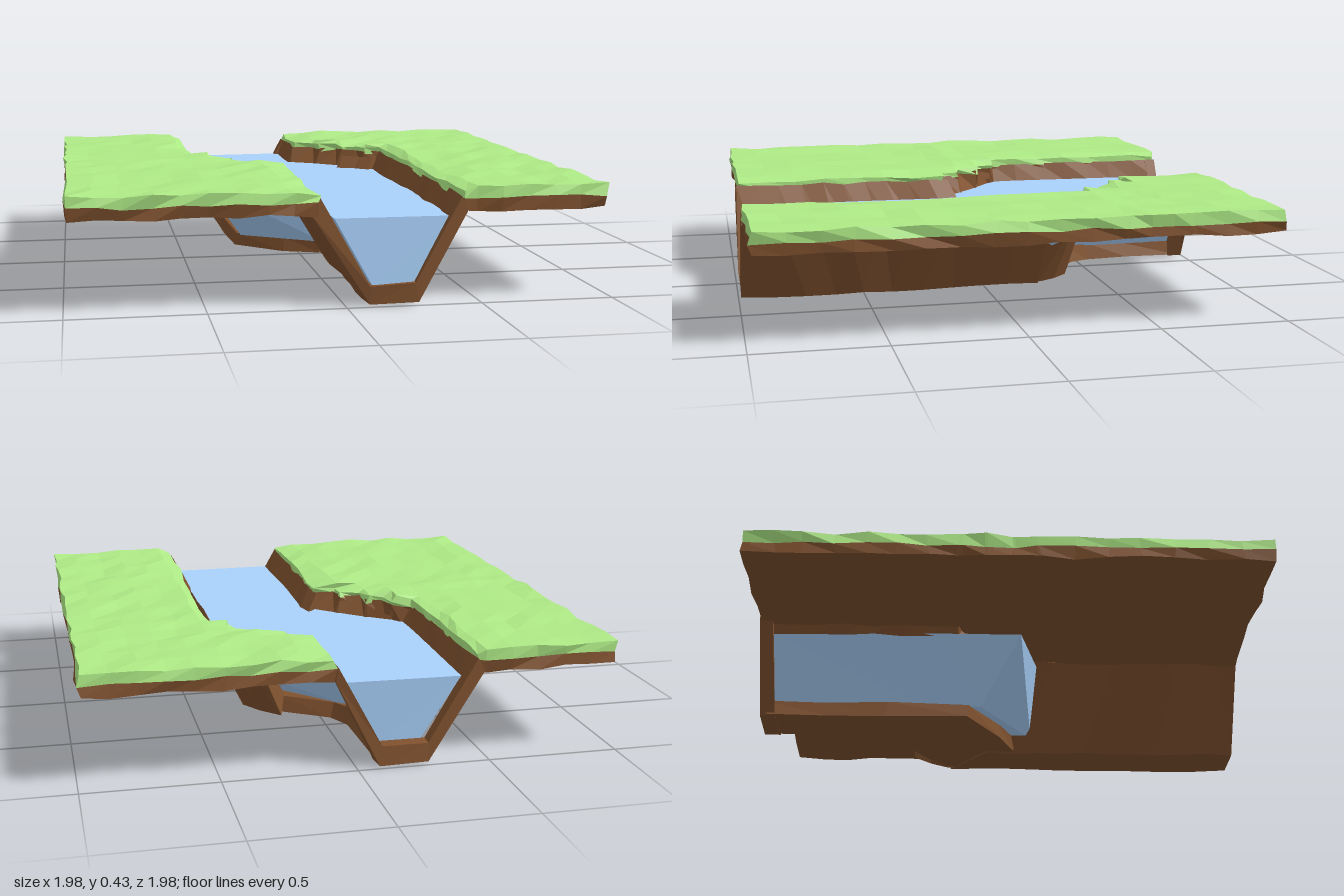
import * as THREE from 'three';

const GRASS = 0xaeea86, DIRT = 0x80522f, WATER = 0xaad2fc;

// Repeatable roughness: the same point is always nudged the same way, near rows together
function rough([x, y, z], amp) {
  const row = Math.round(z * 10);
  const h = (k) => {
    const s = Math.sin(x * 127.1 + y * 71.3 + row * 31.17 + k * 17.9) * 4375.85;
    return (s - Math.floor(s) - 0.5) * 2 * amp;
  };
  return new THREE.Vector3(x + h(1), y + h(2) * 0.7, z + h(3));
}

// Skin over cross-sections running from front to back, each clockwise seen from the front.
// A closed skin gets end caps that join point k to its partner counted from the end.
function loft(name, color, sections, amp, closed = true) {
  const pos = [], rows = sections.map((s) => s.map((p) => rough(p, amp)));
  const tri = (a, b, c) => {
    const n = b.clone().sub(a).cross(c.clone().sub(a));
    if (n.length() > 1e-7) for (const p of [a, b, c]) pos.push(p.x, p.y, p.z);
  };
  const quad = (a, b, c, d) => { tri(a, b, c); tri(a, c, d); };
  const n = rows[0].length;
  for (let i = 0; i < rows.length - 1; i++) {
    for (let j = 0; j < (closed ? n : n - 1); j++) {
      const k = (j + 1) % n;
      quad(rows[i][j], rows[i][k], rows[i + 1][k], rows[i + 1][j]);
    }
  }
  if (closed) {
    const s = rows[0], e = rows[rows.length - 1];
    for (let k = 0; k < n / 2 - 1; k++) {
      const l = n - 1 - k;
      quad(s[l], s[l - 1], s[k + 1], s[k]);
      quad(e[k], e[k + 1], e[l - 1], e[l]);
    }
  }
  const geo = new THREE.BufferGeometry();
  geo.setAttribute('position', new THREE.Float32BufferAttribute(pos, 3));
  geo.computeVertexNormals();
  const side = closed ? THREE.FrontSide : THREE.DoubleSide;
  const mesh = new THREE.Mesh(geo, new THREE.MeshStandardMaterial({ color, flatShading: true, side }));
  mesh.name = name;
  return mesh;
}

// Split the long stretches of a bank line
function subdivide(line, step = 0.12) {
  const out = [line[0]];
  for (let i = 1; i < line.length; i++) {
    const [a, b] = [line[i - 1], line[i]];
    const n = Math.max(1, Math.round(Math.abs(b[1] - a[1]) / step));
    for (let k = 1; k <= n; k++) out.push(a.map((v, c) => v + (b[c] - v) * k / n));
  }
  return out;
}

// Stepped bank lines as [x, z], front to back
const LEFT_BANK = subdivide([[-0.1, 0.98], [-0.095, 0.11], [-0.18, 0.1], [-0.19, 0.02], [-0.27, 0.01],
  [-0.28, -0.08], [-0.34, -0.09], [-0.36, -0.17], [-0.44, -0.19], [-0.445, -0.98]]);
const RIGHT_BANK = subdivide([[0.43, 0.98], [0.44, -0.37], [0.37, -0.385], [0.35, -0.46], [0.28, -0.47],
  [0.27, -0.535], [0.19, -0.545], [0.17, -0.62], [0.08, -0.635], [0.075, -0.98]]);

// One layer of ground between the tile edge and a bank line
function layer(name, color, bank, side, top, bottom) {
  const sections = bank.map(([edge, z]) => {
    const xs = [];
    for (let j = 0; j < 10; j++) {
      xs.push(side < 0 ? Math.min(-0.985 + j * 0.1, edge) : Math.max(0.08 + j * 0.1, edge));
    }
    const height = (x) => top - (color === GRASS && Math.abs(x - edge) < 0.01 ? 0.015 : 0);
    return [...xs.map((x) => [x, height(x), z]), ...xs.reverse().map((x) => [x, bottom, z])];
  });
  return loft(name, color, sections, 0.01);
}

// Channel cross-section: inner face left to right, then outer face back
const CHANNEL = [[-0.09, 0.4], [0.09, 0.09], [0.26, 0.09], [0.43, 0.4],
  [0.44, 0.35], [0.275, 0.015], [0.085, 0.02], [-0.125, 0.35]];
const SHIFT = -0.355;

export function createModel() {
  const model = new THREE.Group();
  model.name = 'riverBendTile';

  // Ground on both sides
  for (const [side, bank, label] of [[-1, LEFT_BANK, 'right'], [1, RIGHT_BANK, 'left']]) {
    model.add(layer(label + 'Grass', GRASS, bank, side, 0.432, 0.39));
    model.add(layer(label + 'Soil', DIRT, bank, side, 0.39, 0.346));
  }

  // Front channel, cut off along the bend
  const front = [];
  for (let i = 0; i <= 10; i++) {
    front.push(CHANNEL.map(([x, y]) => {
      const end = 0.1 - (x + 0.1) * 0.87;
      return [x, y, 0.985 + (end - 0.985) * i / 10];
    }));
  }
  model.add(loft('frontChannel', DIRT, front, 0.01));

  // Short outer wall where the channel turns
  model.add(loft('bendWall', DIRT, [
    [[0.24, 0.09, -0.2], [0.4, 0.38, -0.33], [0.44, 0.35, -0.36], [0.28, 0.02, -0.23]],
    [[0.19, 0.09, -0.27], [0.34, 0.38, -0.37], [0.37, 0.35, -0.4], [0.23, 0.02, -0.31]],
    [[0.13, 0.09, -0.33], [0.27, 0.38, -0.41], [0.29, 0.35, -0.43], [0.15, 0.02, -0.37]],
  ], 0.006));

  // Rim at the back end of the channel
  model.add(loft('backChannelRim', DIRT,
    [-0.93, -0.985].map((z) => CHANNEL.map(([x, y]) => [x + SHIFT, y, z])), 0.005));

  // Floor through the bend and along the back
  const floor = [[0.09, 0.26, 0.05, -0.2], [-0.06, 0.16, -0.02, -0.32], [-0.25, -0.04, -0.15, -0.45],
    [-0.265, -0.095, -0.48, -0.55], [-0.265, -0.095, -0.72, -0.72], [-0.265, -0.095, -0.96, -0.96]];
  model.add(loft('channelFloor', DIRT, floor.map(([l, r, zl, zr]) =>
    [[l, 0.085, zl], [r, 0.085, zr], [r + 0.01, 0.02, zr], [l - 0.01, 0.025, zl]]), 0.008));

  // Crumbling lips between the ground and the waterline
  const clamp = THREE.MathUtils.clamp;
  const leftLip = LEFT_BANK.filter(([, z]) => z < 0.2).map(([x, z]) =>
    [[x, 0.4, z], [clamp(-0.06 + (z - 0.1) * 1.18, -0.405, -0.06), 0.32, z]]);
  const rightLip = RIGHT_BANK.filter(([, z]) => z < -0.2).map(([x, z]) =>
    [[clamp(0.4 + (z + 0.36) * 1.3, 0.05, 0.4), 0.32, z], [x, 0.4, z]]);
  model.add(loft('rightBankLip', DIRT, leftLip, 0.006, false));
  model.add(loft('leftBankLip', DIRT, rightLip, 0.006, false));

  // Water body: x and z of each section's top left, top right, bottom right, bottom left
  const water = [
    [-0.04, 0.955, 0.39, 0.955, 0.25, 0.97, 0.1, 0.97],
    [-0.045, 0.5, 0.395, 0.5, 0.25, 0.5, 0.1, 0.5],
    [-0.04, 0.16, 0.395, 0.13, 0.25, 0.1, 0.08, 0.12],
    [-0.41, 0.06, 0.56, -0.37, 0.2, -0.16, -0.245, -0.1],
    [-0.405, -0.28, 0.05, -0.64, -0.09, -0.48, -0.245, -0.32],
    [-0.4, -0.95, 0.055, -0.95, -0.1, -0.93, -0.245, -0.93],
  ];
  model.add(loft('water', WATER, water.map((w) =>
    [0.328, 0.328, 0.08, 0.08].map((y, k) => [w[k * 2], y, w[k * 2 + 1]])), 0.003));

  return model;
}
